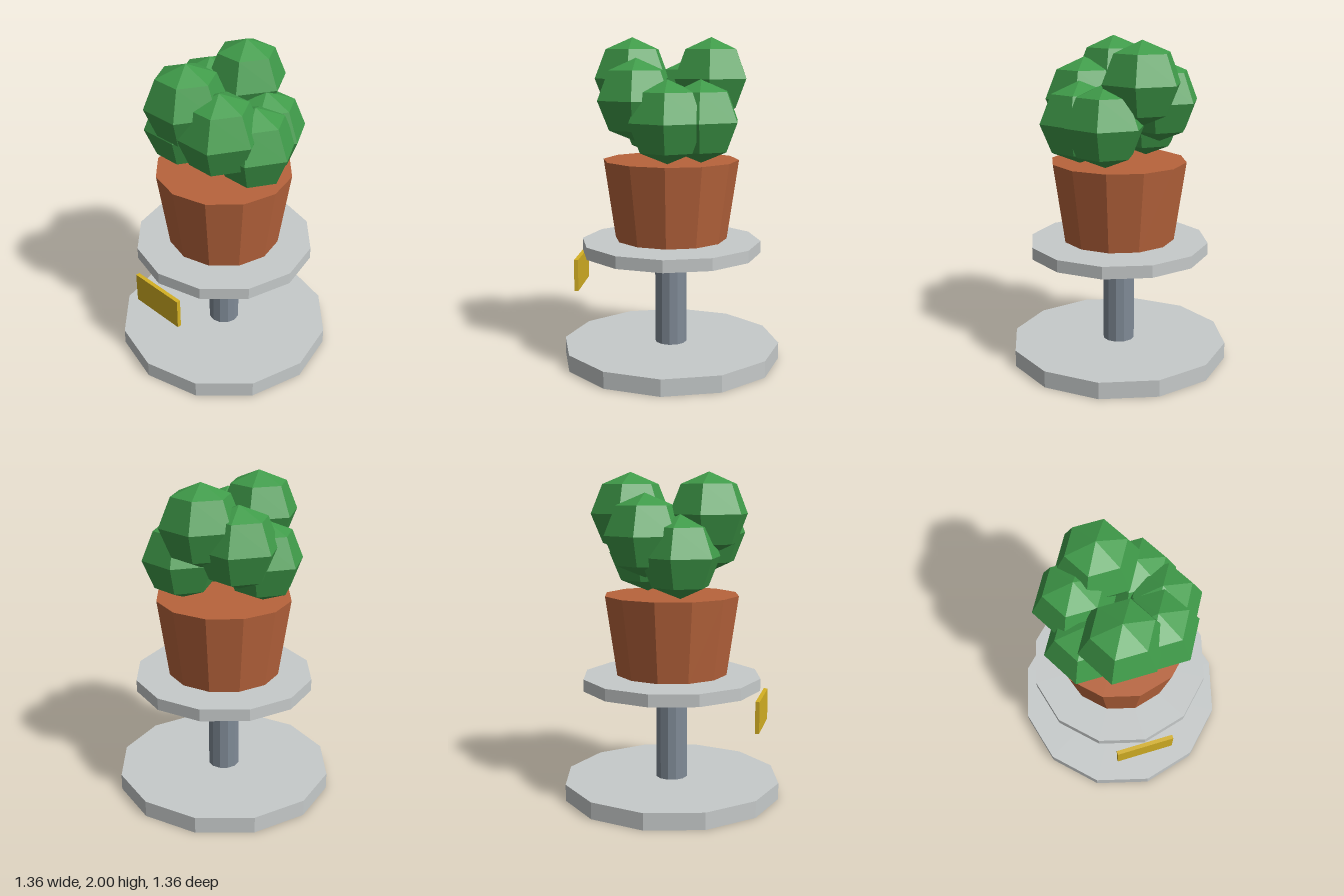
import * as THREE from 'three';

const flat = (name, color) => {
  const m = new THREE.MeshStandardMaterial({ color, flatShading: true });
  m.name = name;
  return m;
};

export function createModel() {
  const stone = flat('paleStone', 0xc6caca);
  const steel = flat('steelGrey', 0x808b97);
  const clay = flat('terracotta', 0xb8643c);
  const leaf = flat('leafGreen', 0x409c4a);
  const gold = flat('gold', 0xd4b024);

  const model = new THREE.Group();
  model.name = 'pottedShrubOnStand';

  const add = (name, geometry, material, x, y, z) => {
    const mesh = new THREE.Mesh(geometry, material);
    mesh.name = name;
    mesh.position.set(x, y, z);
    model.add(mesh);
  };

  // Twelve-sided drum between two heights
  const drum = (name, rTop, rBottom, y0, y1, material) =>
    add(name, new THREE.CylinderGeometry(rTop, rBottom, y1 - y0, 12), material, 0, (y0 + y1) / 2, 0);

  // Stand and pot
  drum('base', 0.68, 0.68, 0, 0.103, stone);
  drum('post', 0.099, 0.099, 0.103, 0.683, steel);
  drum('tray', 0.557, 0.557, 0.683, 0.758, stone);
  drum('pot', 0.418, 0.347, 0.771, 1.261, clay);

  // Plaque floating in front of the post
  add('plaque', new THREE.BoxGeometry(0.37, 0.194, 0.025), gold, 0, 0.56, 0.567);

  // Ring of seven foliage balls at three repeating heights
  const ball = new THREE.SphereGeometry(0.247, 6, 4);
  for (let i = 0; i < 7; i++) {
    const a = (i / 7) * Math.PI * 2;
    add('foliage' + (i + 1), ball, leaf,
      Math.cos(a) * 0.247, 1.508 + (i % 3) * 0.1225, Math.sin(a) * 0.247);
  }
  return model;
}
